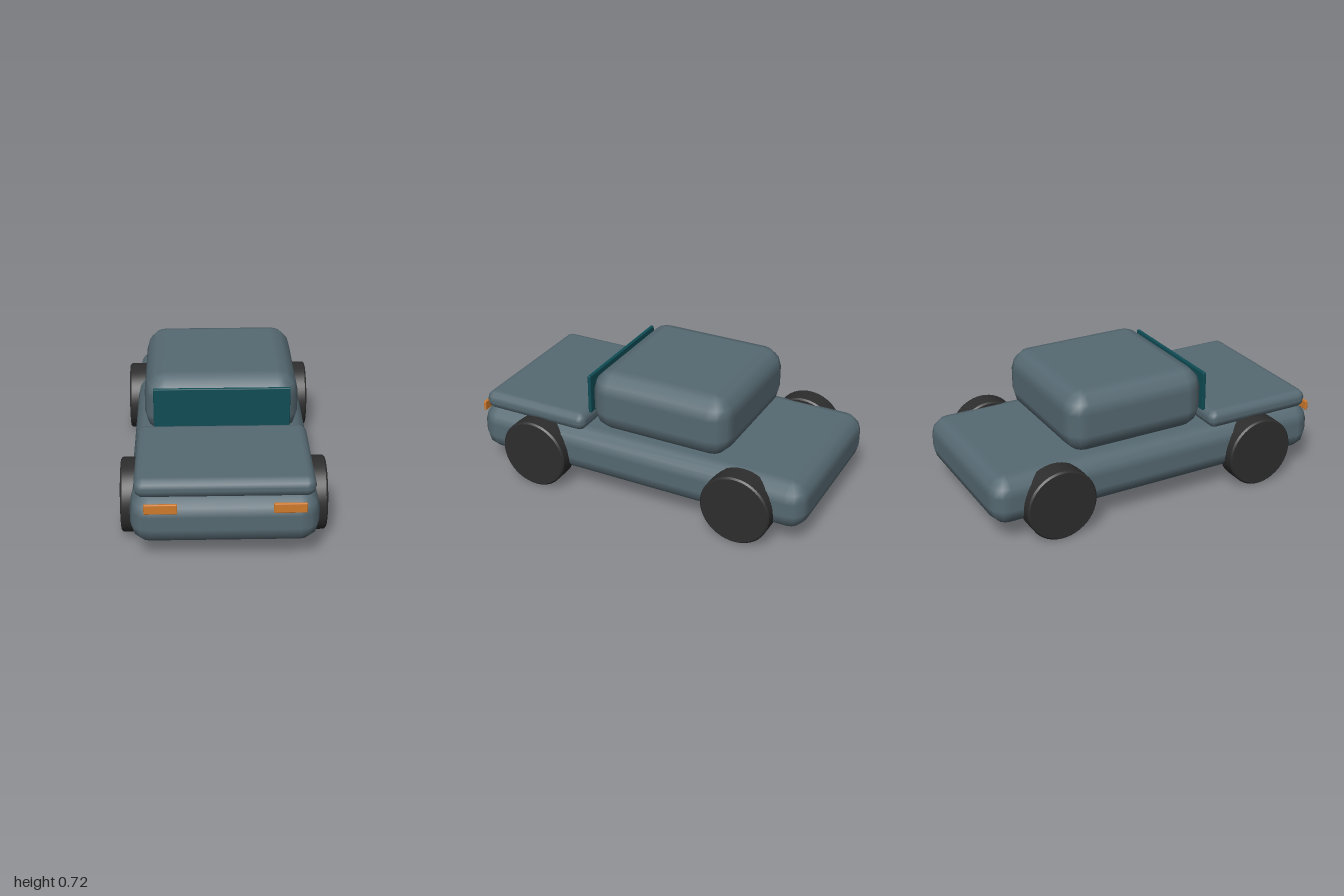
import * as THREE from 'three';
import { toCreasedNormals } from 'three/addons/utils/BufferGeometryUtils.js';

const paint = (name, color) => {
  const m = new THREE.MeshStandardMaterial({ color });
  m.name = name;
  return m;
};

// Box with softly rounded edges: stacked rounded-rectangle rings, n facets per quarter turn
function softBox([x0, x1], [y0, y1], [z0, z1], r, n = 3) {
  const pos = [], nor = [], idx = [];
  const perRing = 4 * (n + 1), rings = 2 * (n + 1);
  const hx = (x1 - x0) / 2 - r, hy = (y1 - y0) / 2 - r, hz = (z1 - z0) / 2 - r;
  const signs = [[1, 1], [-1, 1], [-1, -1], [1, -1]];
  for (let j = 0; j < rings; j++) {
    const upper = j > n;
    const lat = (upper ? j - n - 1 : j - n) / n * Math.PI / 2;
    for (let c = 0; c < 4; c++) {
      for (let i = 0; i <= n; i++) {
        const t = (c + i / n) * Math.PI / 2;
        const d = [Math.cos(lat) * Math.cos(t), Math.sin(lat), Math.cos(lat) * Math.sin(t)];
        nor.push(...d);
        pos.push(signs[c][0] * hx + r * d[0], (upper ? hy : -hy) + r * d[1], signs[c][1] * hz + r * d[2]);
      }
    }
  }
  for (let j = 0; j < rings - 1; j++) {
    for (let i = 0; i < perRing; i++) {
      const a = j * perRing + i, b = j * perRing + (i + 1) % perRing;
      idx.push(a, a + perRing, b, b, a + perRing, b + perRing);
    }
  }
  // Flat bottom and top
  const k = n + 1, top = (rings - 1) * perRing;
  idx.push(0, k, 2 * k, 0, 2 * k, 3 * k);
  idx.push(top, top + 2 * k, top + k, top, top + 3 * k, top + 2 * k);

  const g = new THREE.BufferGeometry();
  g.setAttribute('position', new THREE.Float32BufferAttribute(pos, 3));
  g.setAttribute('normal', new THREE.Float32BufferAttribute(nor, 3));
  g.setIndex(idx);
  g.translate((x0 + x1) / 2, (y0 + y1) / 2, (z0 + z1) / 2);
  return g;
}

// Tyre disc along x with a small edge bevel
function wheelGeometry(radius, width, bevel) {
  const h = width / 2;
  const profile = [[0, -h], [radius - bevel, -h], [radius, -h + bevel], [radius, h - bevel], [radius - bevel, h], [0, h]]
    .map(([x, y]) => new THREE.Vector2(x, y));
  return toCreasedNormals(new THREE.LatheGeometry(profile, 48), 0.5).rotateZ(Math.PI / 2);
}

export function createModel() {
  const car = new THREE.Group();
  car.name = 'car';
  const body = paint('slate body paint', 0x566972);
  const glass = paint('teal glass', 0x0f4c55);
  const amber = paint('amber lamp', 0xd07a2c);
  const rubber = paint('dark rubber', 0x2d2d2d);

  const add = (name, geometry, material) => {
    const mesh = new THREE.Mesh(geometry, material);
    mesh.name = name;
    car.add(mesh);
    return mesh;
  };

  // Body shells
  add('chassis', softBox([-0.48, 0.48], [0.11, 0.381], [-1, 0.98], 0.1), body);
  add('hood', softBox([-0.457, 0.457], [0.367, 0.47], [0.303, 0.946], 0.046), body);
  add('cabin', softBox([-0.417, 0.417], [0.375, 0.723], [-0.531, 0.295], 0.115), body);

  // Windscreen
  add('windscreen', softBox([-0.367, 0.367], [0.455, 0.678], [0.298, 0.318], 0.005), glass);

  // Headlamps and wheels, mirrored left and right
  const wheel = wheelGeometry(0.197, 0.121, 0.009);
  for (const [side, s] of [['left', 1], ['right', -1]]) {
    const lamp = [0.239 * s, 0.406 * s].sort((a, b) => a - b);
    add(`${side} headlamp`, softBox(lamp, [0.315, 0.369], [0.984, 1], 0.005), amber);
    for (const [end, z] of [['front', 0.587], ['rear', -0.643]]) {
      add(`${side} ${end} wheel`, wheel, rubber).position.set(0.475 * s, 0.198, z);
    }
  }
  return car;
}
